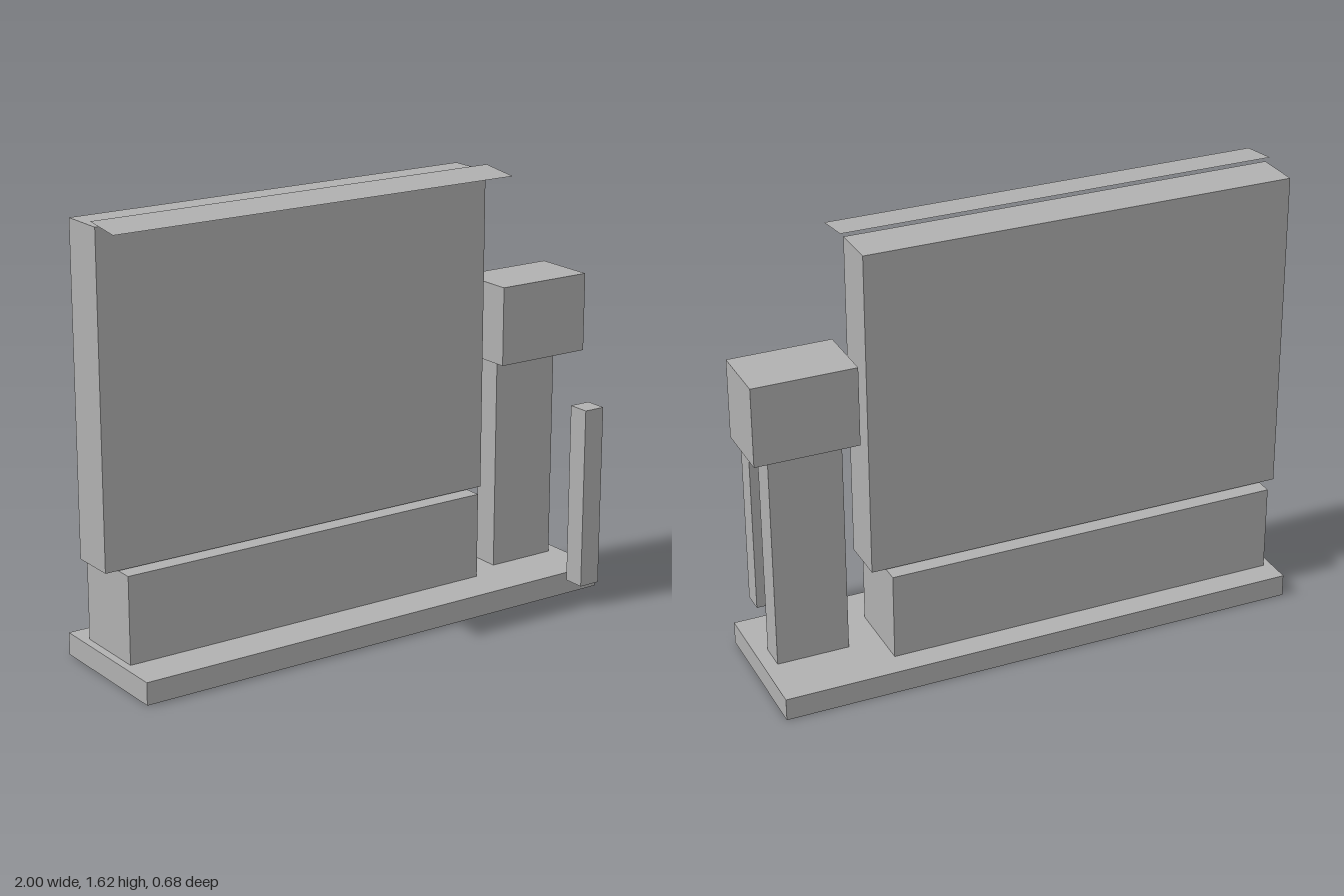
import * as THREE from 'three';

const grey = new THREE.MeshStandardMaterial({ color: 0xb0b0b0, side: THREE.DoubleSide });
grey.name = 'plain grey';

// Block given by its limits on each axis, with an open underside
function block(name, [x0, x1], [y0, y1], [z0, z1]) {
  const geo = new THREE.BoxGeometry(x1 - x0, y1 - y0, z1 - z0);
  const index = Array.from(geo.index.array);
  index.splice(18, 6); // drop the bottom face
  geo.setIndex(index);
  geo.clearGroups();
  const mesh = new THREE.Mesh(geo, grey);
  mesh.name = name;
  mesh.position.set((x0 + x1) / 2, (y0 + y1) / 2, (z0 + z1) / 2);
  return mesh;
}

// Thin sheet sloping down toward the front
function slopingSheet(name, width, cx, back, front) {
  const dy = back.y - front.y, dz = front.z - back.z;
  const mesh = new THREE.Mesh(new THREE.PlaneGeometry(width, Math.hypot(dy, dz)), grey);
  mesh.name = name;
  mesh.rotation.x = -Math.PI / 2 + Math.atan2(dy, dz);
  mesh.position.set(cx, (back.y + front.y) / 2, (back.z + front.z) / 2);
  return mesh;
}

export function createModel() {
  const group = new THREE.Group();
  group.name = 'signboard';
  group.add(
    // ground slab and the low wall carrying the board
    block('base', [-0.965, 0.99], [0, 0.083], [-0.34, 0.2]),
    block('plinth', [-0.935, 0.55], [0.083, 0.406], [-0.245, 0.04]),
    block('board', [-0.99, 0.605], [0.41, 1.605], [-0.19, -0.017]),
    slopingSheet('canopy', 1.62, -0.19, { y: 1.623, z: -0.03 }, { y: 1.605, z: 0.12 }),
    // side post with its box, and the bollard in front
    block('post', [0.673, 0.94], [0.083, 0.897], [-0.12, -0.017]),
    block('postBox', [0.62, 1], [0.897, 1.19], [-0.157, 0.083]),
    block('bollard', [0.8, 0.882], [0.083, 0.76], [0.26, 0.343]),
  );
  return group;
}
